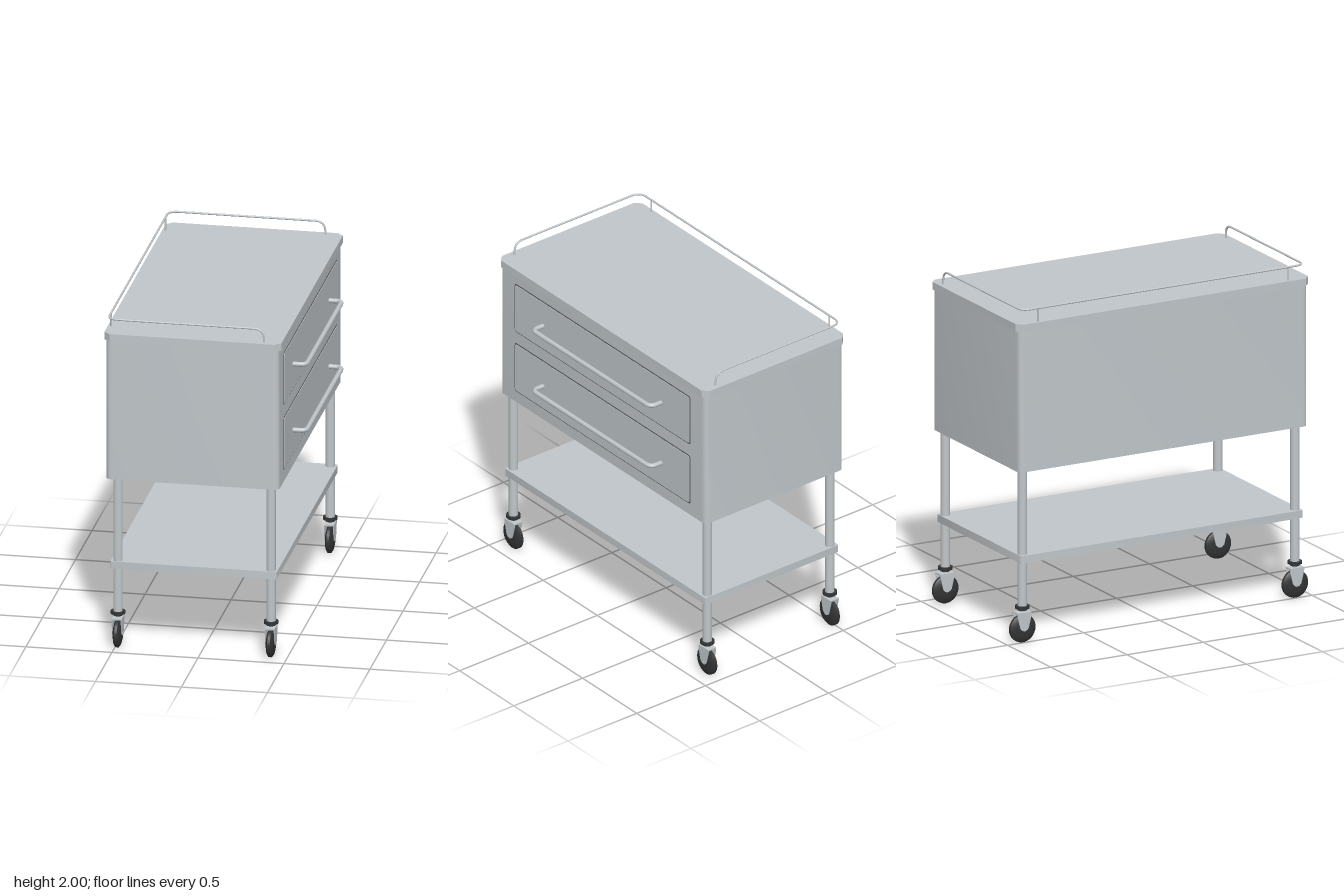
import * as THREE from 'three';
import { toCreasedNormals } from 'three/addons/utils/BufferGeometryUtils.js';

const steel = new THREE.MeshStandardMaterial({ name: 'light grey steel', color: 0xc0c6ca });
const rubber = new THREE.MeshStandardMaterial({ name: 'black rubber', color: 0x333435 });
const seam = new THREE.MeshStandardMaterial({ name: 'dark drawer seam', color: 0x5c6164 });

const CX = -0.043; // middle of the body in x

function add(parent, name, geometry, material, x = 0, y = 0, z = 0) {
  const mesh = new THREE.Mesh(geometry, material);
  mesh.name = name;
  mesh.position.set(x, y, z);
  parent.add(mesh);
  return mesh;
}

// Rectangle outline with rounded corners, or cut corners when cut is true
function outline(target, w, h, r, cut = false) {
  const x = w / 2, y = h / 2;
  const corner = (cx, cy, ex, ey) => cut ? target.lineTo(ex, ey) : target.quadraticCurveTo(cx, cy, ex, ey);
  target.moveTo(-x + r, -y);
  target.lineTo(x - r, -y);
  corner(x, -y, x, -y + r);
  target.lineTo(x, y - r);
  corner(x, y, x - r, y);
  target.lineTo(-x + r, y);
  corner(-x, y, -x, y - r);
  target.lineTo(-x, -y + r);
  corner(-x, -y, -x + r, -y);
  return target;
}

function extrude(shape, depth, crease = 0.6) {
  return toCreasedNormals(new THREE.ExtrudeGeometry(shape, { depth, bevelEnabled: false, curveSegments: 5 }), crease);
}

// Horizontal slab, or an upright wall ring when a wall thickness is given
function slab(w, d, h, r, wall = 0, cut = false) {
  const shape = outline(new THREE.Shape(), w, d, r, cut);
  if (wall) shape.holes.push(outline(new THREE.Path(), w - 2 * wall, d - 2 * wall, r - wall * 0.6, cut));
  return extrude(shape, h).rotateX(-Math.PI / 2);
}

// Tube along a polyline with rounded bends
function bentTube(points, bend, radius, segments) {
  const pts = points.map((p) => new THREE.Vector3(...p));
  const path = new THREE.CurvePath();
  let start = pts[0];
  for (let i = 1; i < pts.length - 1; i++) {
    const p = pts[i];
    const a = p.clone().add(pts[i - 1].clone().sub(p).setLength(bend));
    const b = p.clone().add(pts[i + 1].clone().sub(p).setLength(bend));
    path.add(new THREE.LineCurve3(start, a));
    path.add(new THREE.QuadraticBezierCurve3(a, p, b));
    start = b;
  }
  path.add(new THREE.LineCurve3(start, pts[pts.length - 1]));
  return new THREE.TubeGeometry(path, segments, radius, 10);
}

function makeCaster() {
  const caster = new THREE.Group();
  caster.name = 'caster';

  // Collar under the leg and swivel stem
  add(caster, 'collar', new THREE.CylinderGeometry(0.042, 0.042, 0.016, 20), rubber, 0, 0.211, 0);
  add(caster, 'collarRing', new THREE.CylinderGeometry(0.028, 0.028, 0.012, 16), rubber, 0, 0.198, 0);
  add(caster, 'stem', new THREE.CylinderGeometry(0.012, 0.012, 0.025, 12), steel, 0, 0.187, 0);

  // Fork: bridge and two tapering cheeks
  add(caster, 'forkBridge', new THREE.BoxGeometry(0.058, 0.008, 0.092), steel, 0, 0.178, 0);
  const cheek = new THREE.Shape();
  cheek.moveTo(-0.046, 0.182);
  cheek.lineTo(-0.046, 0.165);
  cheek.lineTo(-0.027, 0.088);
  cheek.quadraticCurveTo(0, 0.052, 0.027, 0.088);
  cheek.lineTo(0.046, 0.165);
  cheek.lineTo(0.046, 0.182);
  const cheekGeometry = extrude(cheek, 0.005).rotateY(Math.PI / 2);
  for (const x of [-0.029, 0.024]) add(caster, 'forkCheek', cheekGeometry, steel, x, 0, 0);

  // Wheel, thickest at the hub and narrow at the tread
  const profile = [[0, -0.023], [0.045, -0.023], [0.07, -0.017], [0.083, -0.008], [0.083, 0.008],
    [0.07, 0.017], [0.045, 0.023], [0, 0.023]].map(([r, y]) => new THREE.Vector2(r, y));
  const wheel = toCreasedNormals(new THREE.LatheGeometry(profile, 32), 0.5).rotateZ(Math.PI / 2);
  add(caster, 'wheel', wheel, rubber, 0, 0.083, 0);
  const axle = new THREE.CylinderGeometry(0.008, 0.008, 0.062, 10).rotateZ(Math.PI / 2);
  add(caster, 'axle', axle, steel, 0, 0.083, 0);
  return caster;
}

export function createModel() {
  const model = new THREE.Group();
  model.name = 'drawerTrolley';

  // Cabinet shell, open underneath, with its overhanging top
  add(model, 'cabinetShell', slab(1.006, 1.895, 0.845, 0.035, 0.008), steel, CX, 1.03, 0);
  add(model, 'worktop', slab(1.03, 1.922, 0.045, 0.035, 0, true), steel, CX, 1.87, 0);

  // Two drawers with long bar handles
  [[1.655, 1.655, 0.31], [1.262, 1.255, 0.312]].forEach(([y, handleY, h]) => {
    const drawer = new THREE.Group();
    drawer.name = 'drawer';
    model.add(drawer);
    const gap = extrude(outline(new THREE.Shape(), 1.62, h + 0.008, 0.018), 0.003).rotateY(Math.PI / 2);
    add(drawer, 'drawerSeam', gap, seam, 0.459, y, 0);
    const front = extrude(outline(new THREE.Shape(), 1.606, h - 0.006, 0.014), 0.006).rotateY(Math.PI / 2);
    add(drawer, 'drawerFront', front, steel, 0.459, y, 0);
    const handle = bentTube([[0.455, 0, 0.545], [0.542, 0, 0.545], [0.542, 0, -0.545], [0.455, 0, -0.545]], 0.04, 0.014, 100);
    add(drawer, 'drawerHandle', handle, steel, 0, handleY, 0);
  });

  // Guard rail around three sides, with posts at the back
  const railY = 1.994, railX = -0.539, railZ = 0.928;
  const rail = bentTube([
    [0.37, 1.91, railZ], [0.37, railY, railZ], [railX, railY, railZ],
    [railX, railY, -railZ], [0.37, railY, -railZ], [0.37, 1.91, -railZ],
  ], 0.06, 0.006, 260);
  add(model, 'guardRail', rail, steel);
  for (const z of [-0.822, 0.822]) {
    add(model, 'railPost', new THREE.CylinderGeometry(0.005, 0.005, 0.084, 8), steel, railX, 1.953, z);
  }

  // Lower shelf: thin deck with a turned-down rim
  add(model, 'shelfDeck', slab(0.968, 1.854, 0.006, 0.012), steel, CX + 0.003, 0.519, 0);
  add(model, 'shelfRim', slab(0.968, 1.854, 0.04, 0.012, 0.006), steel, CX + 0.003, 0.48, 0);

  // Legs and casters at the four corners
  for (const x of [-0.485, 0.405]) {
    for (const z of [-0.895, 0.895]) {
      add(model, 'leg', new THREE.CylinderGeometry(0.027, 0.027, 0.83, 20), steel, x, 0.63, z);
      const caster = makeCaster();
      caster.position.set(x, 0, z);
      model.add(caster);
    }
  }
  return model;
}
